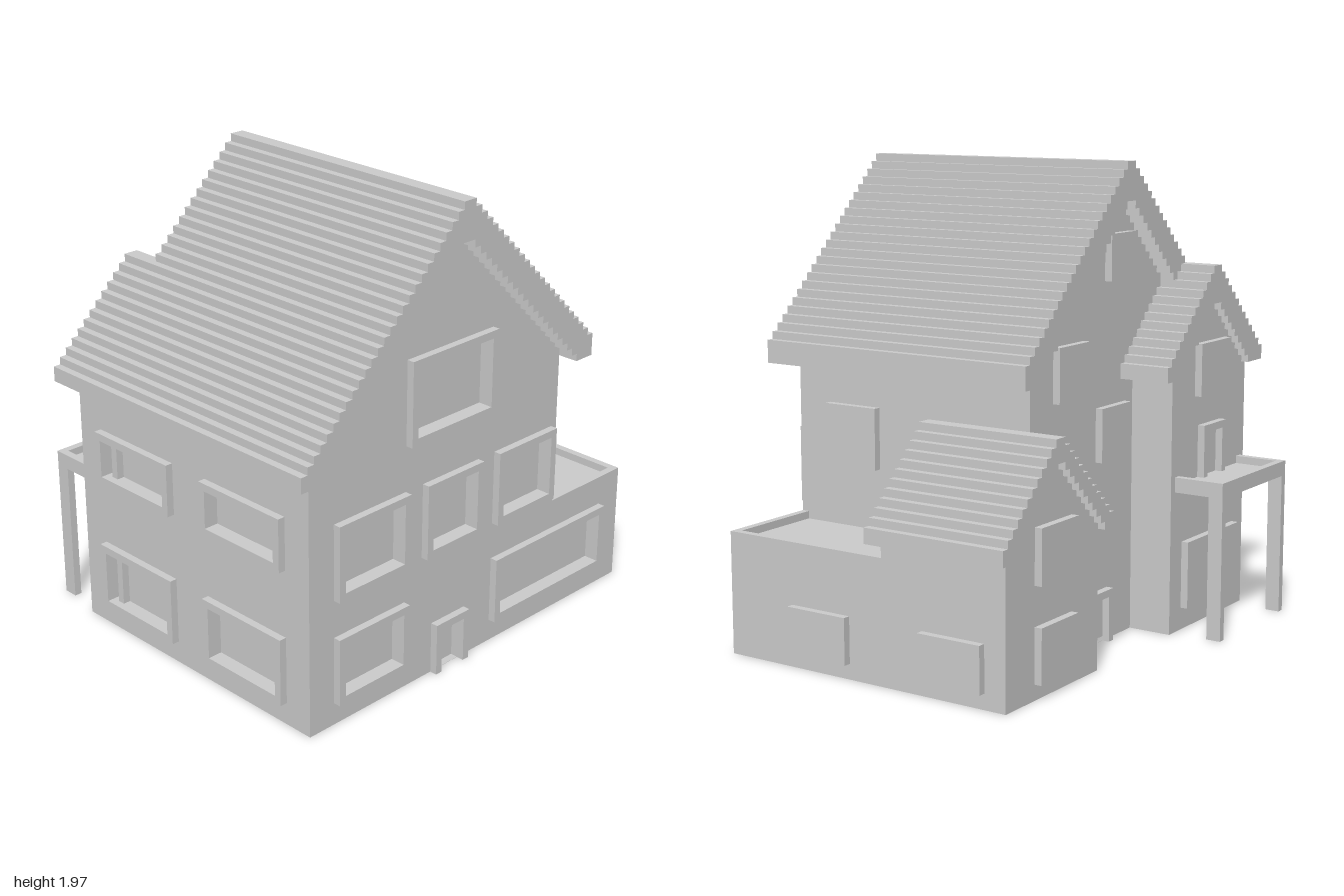
import * as THREE from 'three';

// The house sits on a 63-step grid: x index, y height, z index all in grid steps.
const STEP = 2 / 63;
const MAT = new THREE.MeshStandardMaterial({ color: 0xcccccc, flatShading: true });

function poly(points, Type = THREE.Shape) {
  return new Type(points.map(([x, y]) => new THREE.Vector2(x, y)));
}

function extrude(shape, z0, z1) {
  const g = new THREE.ExtrudeGeometry(shape, { depth: z1 - z0, bevelEnabled: false });
  return g.translate(0, 0, z0);
}

function add(parent, name, geometry) {
  const mesh = new THREE.Mesh(geometry, MAT);
  mesh.name = name;
  parent.add(mesh);
  return mesh;
}

function box(parent, name, x0, x1, y0, y1, z0, z1) {
  const g = new THREE.BoxGeometry(x1 - x0, y1 - y0, z1 - z0);
  add(parent, name, g.translate((x0 + x1) / 2, (y0 + y1) / 2, (z0 + z1) / 2));
}

const rect = (a0, a1, b0, b1) => [[a0, b0], [a1, b0], [a1, b1], [a0, b1]];

// Gable outline whose slopes fall one step per step from the apex
const gable = (x0, x1, cx, peak) =>
  [[x0, 0], [x1, 0], [x1, peak - (x1 - cx)], [cx, peak], [x0, peak - (cx - x0)]];

// Direction of each wall: turn about y, and sign of its running coordinate
const FACING = {
  front: { turn: 0, sign: 1, axis: 'z' },
  back: { turn: Math.PI, sign: -1, axis: 'z' },
  left: { turn: Math.PI / 2, sign: -1, axis: 'x' },
  right: { turn: -Math.PI / 2, sign: 1, axis: 'x' },
};

// One-step-thick wall skin with recessed openings and raised frames.
// Opening: [start, end, bottom, top, isDoor]
function facade(parent, name, facing, plane, outline, openings) {
  const { turn, sign, axis } = FACING[facing];
  const flip = (pts) => pts.map(([a, b]) => [a * sign, b]);
  const group = new THREE.Group();
  group.name = name;
  group.rotation.y = turn;
  group.position[axis] = plane;
  const wall = poly(flip(outline));
  for (const [a0, a1, b0, b1, door] of openings) {
    const sill = door ? Math.max(b0, 0.03) : b0 + 1;
    wall.holes.push(poly(flip(rect(a0 + 1, a1 - 1, sill, b1 - 1)), THREE.Path));
    let frame;
    if (door) {
      frame = poly(flip([[a0, b0], [a0 + 1, b0], [a0 + 1, b1 - 1], [a1 - 1, b1 - 1],
        [a1 - 1, b0], [a1, b0], [a1, b1], [a0, b1]]));
    } else {
      frame = poly(flip(rect(a0, a1, b0, b1)));
      frame.holes.push(poly(flip(rect(a0 + 1, a1 - 1, b0 + 1, b1 - 1)), THREE.Path));
    }
    add(group, door ? 'doorFrame' : 'windowFrame', extrude(frame, 0, 1));
  }
  add(group, 'wall', extrude(wall, -1, 0));
  parent.add(group);
}

// Stepped roof: a staircase up and down, thick by t, with level eaves
function roof(parent, name, { x0, x1, cx, peak, t, eaveL, eaveR, z0, z1 }) {
  const top = [], under = [];
  for (let i = x0; i < x1; i++) {
    const d = i < cx ? cx - 1 - i : i - cx;
    const low = Math.max(peak - t - d, i < cx ? eaveL : eaveR);
    top.push([i, peak - d], [i + 1, peak - d]);
    under.push([i, low], [i + 1, low]);
  }
  const pts = [...under, ...top.reverse()];
  const clean = pts.filter((p, n) => n === 0 || p[0] !== pts[n - 1][0] || p[1] !== pts[n - 1][1]);
  add(parent, name, extrude(poly(clean), z0, z1));
}

export function createModel() {
  const model = new THREE.Group();
  model.name = 'house';
  const grid = new THREE.Group();
  grid.name = 'houseParts';
  grid.scale.setScalar(STEP);
  grid.position.set(-1, 0, -25.5 * STEP);
  model.add(grid);

  // Solid cores behind the wall skins
  add(grid, 'mainCore', extrude(poly(gable(4, 46, 27, 59)), 14, 48));
  add(grid, 'rightWingCore', extrude(poly(gable(4, 23, 13, 45)), 8, 15));
  add(grid, 'leftWingCore', extrude(poly(gable(41, 60, 51, 29.5)), 8, 24));
  box(grid, 'terraceCore', 46, 60, 0, 15, 24, 48);

  // Front walls
  facade(grid, 'frontWall', 'front', 49,
    [[3, 0], [61, 0], [61, 16], [47, 16], [47, 39], [27, 59], [3, 35]], [
      [19, 34, 33, 44],
      [7, 19, 17, 27], [22, 32, 17, 27], [35, 46, 17, 27],
      [7, 19, 3, 12], [35, 57, 3, 12],
      [24, 30, 0, 7, true],
    ]);
  facade(grid, 'terraceDoorWall', 'front', 25, gable(41, 61, 51, 29.5), [[48, 54, 15, 22, true]]);

  // Back walls
  facade(grid, 'mainBackWall', 'back', 13, gable(3, 47, 27, 59), [
    [24, 30, 47, 53], [35, 42, 33, 40], [25, 32, 24, 31], [31, 38, 11, 18],
    [29, 35, 0, 7, true],
  ]);
  facade(grid, 'rightWingBackWall', 'back', 7, gable(3, 23, 13, 45), [
    [9, 17, 31, 38], [10, 16, 20, 27, true], [6, 20, 3, 12],
  ]);
  facade(grid, 'leftWingBackWall', 'back', 7, gable(41, 61, 51, 29.5), [
    [47, 55, 14, 21], [47, 55, 2, 9],
  ]);

  // Side walls
  facade(grid, 'rightSideWall', 'right', 3, rect(8, 48, 0, 35), [
    [11, 25, 3, 12], [31, 45, 3, 12], [11, 25, 21, 28], [31, 45, 21, 28],
  ]);
  facade(grid, 'mainLeftSideWall', 'left', 47, rect(14, 48, 0, 39), [[36, 44, 23, 31]]);
  facade(grid, 'lowerLeftSideWall', 'left', 61,
    [[8, 0], [48, 0], [48, 16], [25, 16], [25, 19.5], [8, 19.5]],
    [[30, 39, 2, 8], [10, 19, 2, 8]]);

  // Stepped roofs
  roof(grid, 'mainRoof', { x0: 0, x1: 51, cx: 27, peak: 62, t: 5, eaveL: 34, eaveR: 36, z0: 11, z1: 51 });
  roof(grid, 'rightWingRoof', { x0: 0, x1: 26, cx: 13, peak: 48, t: 5, eaveL: 34, eaveR: 34, z0: 6, z1: 14 });
  roof(grid, 'leftWingRoof', { x0: 39, x1: 63, cx: 51, peak: 31, t: 3, eaveL: 18, eaveR: 18, z0: 6, z1: 26 });

  // Back balcony on two posts, with a low kerb
  box(grid, 'balconyFloor', 4, 22, 19, 20, 0, 7);
  box(grid, 'balconyBackKerb', 4, 22, 20, 21, 0, 1);
  for (const x of [4, 21]) {
    box(grid, 'balconySideKerb', x, x + 1, 20, 21, 1, 7);
    box(grid, 'balconyPost', x, x + 1, 0, 19, 0, 2);
  }
  return model;
}
